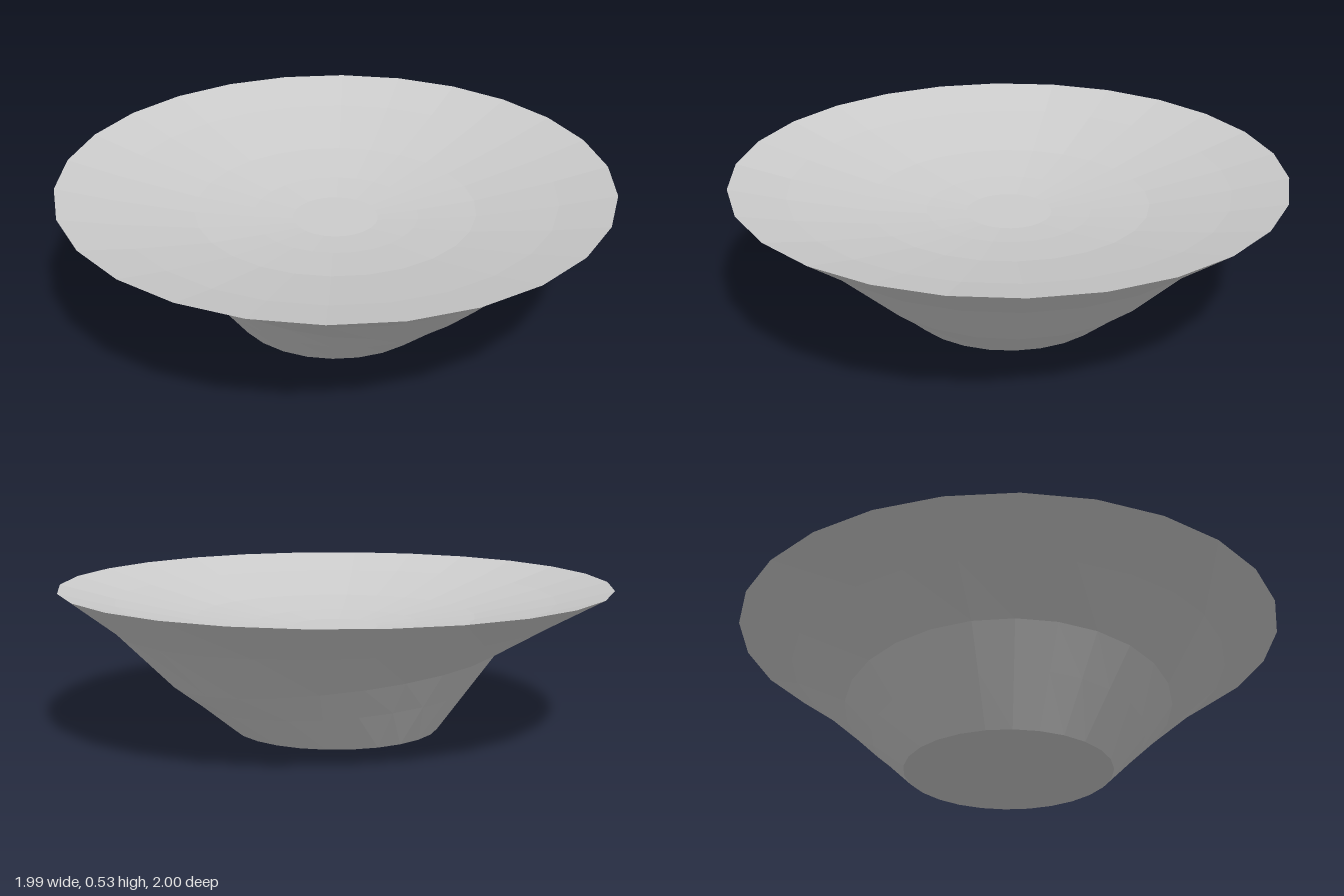
import * as THREE from 'three';

// Profile from the base centre, up the outside, over the rim and down to the dish centre.
// Each ring: radius, height, tilt (drop towards +x and +z).
const RINGS = [
  [0, 0, 0], [0.38, 0, 0], [0.5, 0.13, 0.05], [0.6, 0.235, 0.08], [0.8, 0.395, 0.02],
  [1, 0.527, 0],
  [0.8, 0.474, 0], [0.51, 0.411, 0], [0.3, 0.383, 0], [0.155, 0.37, 0], [0, 0.37, 0],
];
const SIDES = 26;

function tiltedLathe(rings) {
  const profile = rings.map(([r, y]) => new THREE.Vector2(r, y));
  const geometry = new THREE.LatheGeometry(profile, SIDES);
  const p = geometry.attributes.position;
  // Lean each ring so the waist sits lower at the front right and higher at the back left
  for (let i = 0; i < p.count; i++) {
    const tilt = rings[i % rings.length][2];
    p.setY(i, p.getY(i) - tilt * (p.getX(i) + p.getZ(i)));
  }
  geometry.computeVertexNormals();
  return geometry;
}

export function createModel() {
  const group = new THREE.Group();
  group.name = 'bowl';
  const material = new THREE.MeshStandardMaterial({ color: 0xcccccc, flatShading: true });

  // Faceted outside with a flat foot, and the shallow dish inside
  const outside = new THREE.Mesh(tiltedLathe(RINGS.slice(0, 6)), material);
  outside.name = 'outerWall';
  const inside = new THREE.Mesh(tiltedLathe(RINGS.slice(5)), material);
  inside.name = 'innerDish';
  group.add(outside, inside);
  return group;
}
